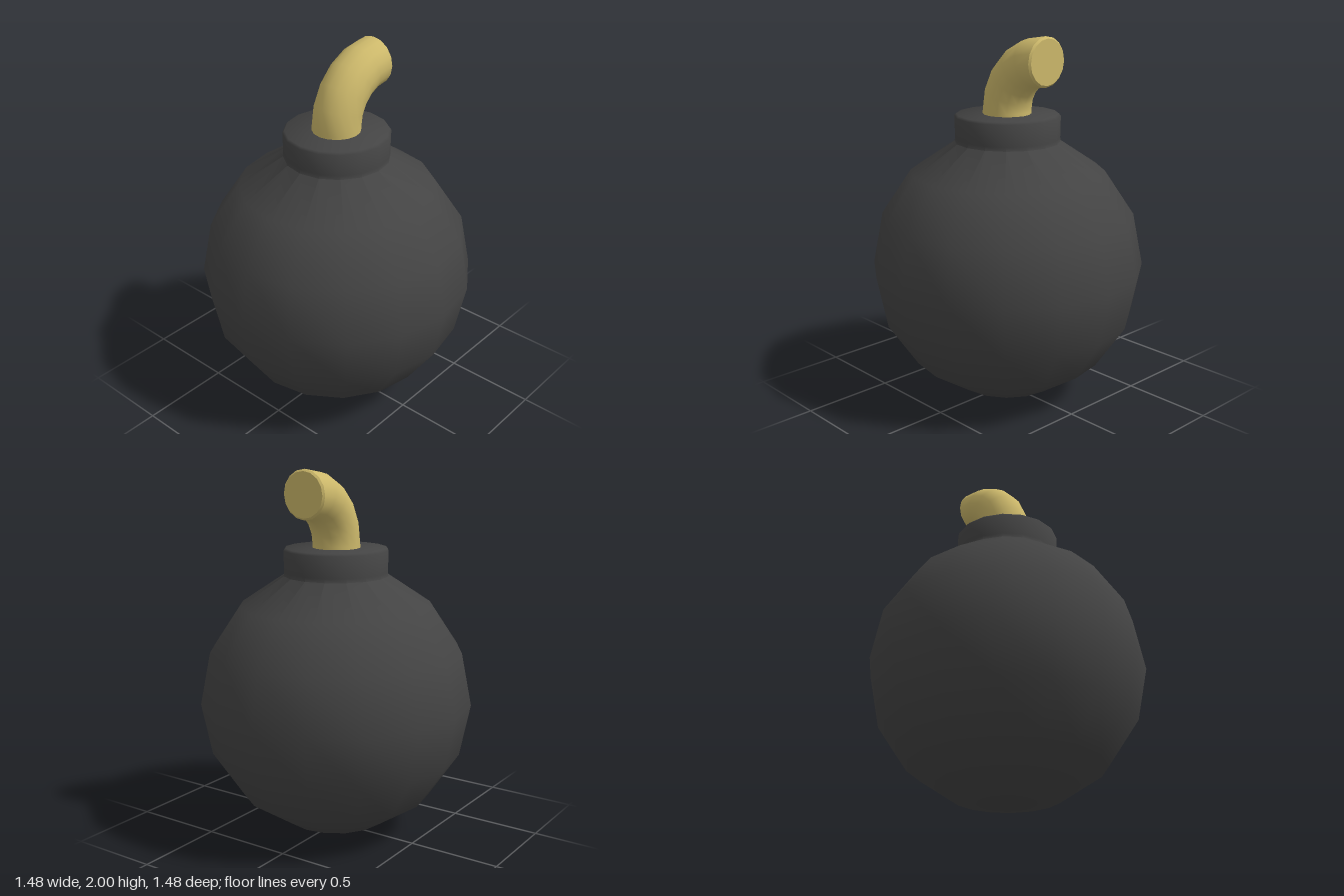
import * as THREE from 'three';
import { toCreasedNormals } from 'three/addons/utils/BufferGeometryUtils.js';

const SIDES = 16;

// Revolved profile, smooth except across sharp bends
function lathe(points, crease = 0.7) {
  const profile = points.map(([r, y]) => new THREE.Vector2(r, y));
  return toCreasedNormals(new THREE.LatheGeometry(profile, SIDES), crease);
}

function addMesh(parent, name, geometry, material) {
  const mesh = new THREE.Mesh(geometry, material);
  mesh.name = name;
  parent.add(mesh);
  return mesh;
}

export function createModel() {
  const model = new THREE.Group();
  model.name = 'roundBomb';
  const dark = new THREE.MeshStandardMaterial({ color: 0x444444 });
  const tan = new THREE.MeshStandardMaterial({ color: 0xcdb96b });

  // Round body, from the bottom pole up to the collar
  const radius = 0.741, centreY = 0.744;
  const bodyProfile = [];
  for (let i = 0; i <= 7; i++) {
    const a = (i * Math.PI) / 8;
    bodyProfile.push([radius * Math.sin(a), centreY - radius * Math.cos(a)]);
  }
  // Collar with a small fillet below and a bevelled rim
  bodyProfile.push([0.281, 1.45], [0.283, 1.565], [0.273, 1.577], [0, 1.577]);
  addMesh(model, 'bodyAndCollar', lathe(bodyProfile, 0.9), dark);

  // Curved fuse: straight root, quarter bend, bevelled end
  const fuse = new THREE.Group();
  fuse.name = 'fuse';
  const tube = 0.129, bend = 0.279, bendX = 0.275, bendY = 1.592;

  const root = addMesh(fuse, 'fuseRoot',
    new THREE.CylinderGeometry(tube, tube, 0.05, SIDES, 1, true), tan);
  root.position.set(bendX - bend, bendY - 0.025, 0);

  const curve = addMesh(fuse, 'fuseBend',
    new THREE.TorusGeometry(bend, tube, SIDES, 5, Math.PI / 2), tan);
  curve.rotation.z = Math.PI / 2;
  curve.position.set(bendX, bendY, 0);

  const tip = addMesh(fuse, 'fuseTip',
    lathe([[tube, 0], [tube, 0.008], [tube - 0.01, 0.018], [0, 0.018]]), tan);
  tip.rotation.z = -Math.PI / 2;
  tip.position.set(bendX, bendY + bend, 0);

  model.add(fuse);
  return model;
}
